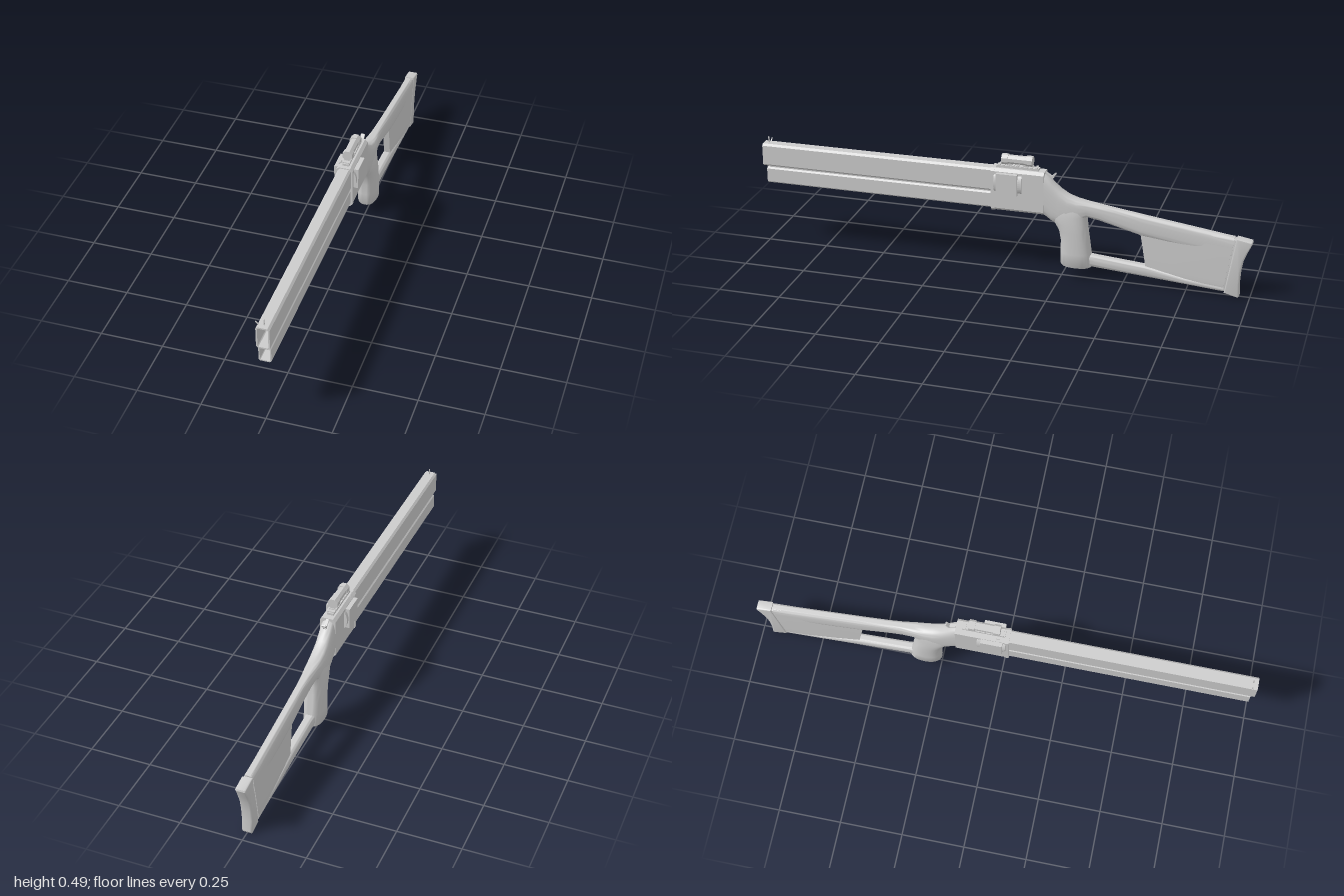
import * as THREE from 'three';
import { mergeVertices, toCreasedNormals } from 'three/addons/utils/BufferGeometryUtils.js';

const grey = new THREE.MeshStandardMaterial({ color: 0xcccccc, side: THREE.DoubleSide });

// Chamfered rectangle outline in x,y
function outline(Path, w, y0, y1, c) {
  const p = new Path();
  [[-w + c, y0], [w - c, y0], [w, y0 + c], [w, y1 - c], [w - c, y1], [-w + c, y1], [-w, y1 - c], [-w, y0 + c]]
    .forEach(([x, y], i) => (i ? p.lineTo(x, y) : p.moveTo(x, y)));
  p.closePath();
  return p;
}

// Chamfered bar along z, optionally hollow
function bar(w, y0, y1, c, z0, z1, wall = 0) {
  const shape = outline(THREE.Shape, w, y0, y1, c);
  if (wall) shape.holes.push(outline(THREE.Path, w - wall, y0 + wall, y1 - wall, c * 0.4));
  return new THREE.ExtrudeGeometry(shape, { depth: z1 - z0, bevelEnabled: false }).translate(0, 0, z0);
}

// Side profile given as [z, y], extruded across x with a rounded rim
function profile(points, halfWidth, bevel) {
  const shape = new THREE.Shape(points.map(([z, y]) => new THREE.Vector2(-z, y)));
  const geo = new THREE.ExtrudeGeometry(shape, {
    depth: 2 * (halfWidth - bevel), bevelSize: bevel, bevelThickness: bevel, bevelOffset: -bevel, bevelSegments: 3,
  });
  geo.translate(0, 0, bevel - halfWidth).rotateY(Math.PI / 2);
  return toCreasedNormals(geo, 0.6);
}

// Loft through rounded sections: [zA, yA, zB, yB, halfWidth], A and B being opposite rims
function loft(sections, squareness, n = 32) {
  const pos = [], idx = [];
  const power = (v) => Math.sign(v) * Math.abs(v) ** (2 / squareness);
  for (const [zA, yA, zB, yB, w] of sections) {
    for (let j = 0; j < n; j++) {
      const t = (j / n) * Math.PI * 2, s = power(Math.sin(t)) / 2;
      pos.push(w * power(Math.cos(t)), (yA + yB) / 2 + (yA - yB) * s, (zA + zB) / 2 + (zA - zB) * s);
    }
  }
  const last = (sections.length - 1) * n, centre = sections.length * n;
  for (const [zA, yA, zB, yB] of [sections[0], sections.at(-1)]) pos.push(0, (yA + yB) / 2, (zA + zB) / 2);
  for (let j = 0; j < n; j++) {
    const k = (j + 1) % n;
    for (let r = 0; r < last; r += n) idx.push(r + j, r + n + j, r + k, r + k, r + n + j, r + n + k);
    idx.push(centre, j, k, centre + 1, last + k, last + j);
  }
  const geo = new THREE.BufferGeometry();
  geo.setAttribute('position', new THREE.Float32BufferAttribute(pos, 3));
  geo.setIndex(idx);
  return toCreasedNormals(mergeVertices(geo, 1e-5), 0.75);
}

export function createModel() {
  const model = new THREE.Group();
  const add = (name, geo, x = 0, y = 0, z = 0) => {
    const mesh = new THREE.Mesh(geo, grey);
    mesh.name = name;
    mesh.position.set(x, y, z);
    model.add(mesh);
    return mesh;
  };
  const box = (name, w, h, d, x, y, z) => add(name, new THREE.BoxGeometry(w, h, d), x, y, z);

  // Hollow tubes and the strip joining them
  add('upperTube', bar(0.026, 0.34, 0.435, 0.008, 0.0, 1.0, 0.006));
  add('lowerTube', bar(0.024, 0.268, 0.335, 0.006, 0.0, 0.985, 0.005));
  box('tubeJoint', 0.034, 0.012, 0.95, 0, 0.337, 0.5);

  // Receiver with a front collar
  add('receiver', bar(0.032, 0.262, 0.438, 0.011, -0.18, 0.03));
  add('frontCollar', bar(0.0335, 0.26, 0.439, 0.011, 0.018, 0.033));

  // Side panels with bowed plates at both ends
  for (const side of [-1, 1]) {
    box('sidePanel', 0.02, 0.088, 0.085, side * 0.039, 0.38, -0.034);
    const bow = new THREE.Shape();
    bow.moveTo(0.028, 0.34);
    bow.quadraticCurveTo(0.044, 0.353, 0.044, 0.38);
    bow.quadraticCurveTo(0.044, 0.407, 0.028, 0.42);
    const geo = new THREE.ExtrudeGeometry(bow, { depth: 0.112, bevelEnabled: false, curveSegments: 6 });
    add('bowedPlate', geo.translate(0, 0, -0.092)).rotation.z = 0;
    if (side < 0) {
      model.children.at(-1).rotation.y = Math.PI;
      model.children.at(-1).position.z = -0.072;
    }
  }

  // Sight rail and octagonal scope
  box('sightRail', 0.026, 0.01, 0.17, 0, 0.442, -0.07);
  for (let i = 0; i < 9; i++) box('railTooth', 0.03, 0.005, 0.009, 0, 0.448, 0.005 - i * 0.0187);
  for (const z of [-0.035, -0.1]) box('scopeMount', 0.014, 0.02, 0.022, 0, 0.452, z);
  const tube = (r, length) => new THREE.CylinderGeometry(r, r, length, 8).rotateY(Math.PI / 8).rotateX(Math.PI / 2).toNonIndexed();
  const facet = (geo) => { geo.computeVertexNormals(); return geo; };
  add('scopeBody', facet(tube(0.018, 0.12)), 0, 0.472, -0.067);
  for (const z of [-0.018, -0.116]) add('scopeRing', facet(tube(0.0215, 0.026)), 0, 0.472, z);
  add('mountScrew', new THREE.CylinderGeometry(0.004, 0.004, 0.03, 8).rotateZ(Math.PI / 2), 0, 0.448, -0.067);

  // Front pins and folding rear sight
  box('frontSight', 0.003, 0.028, 0.005, 0, 0.446, 0.98);
  box('frontSightPin', 0.003, 0.018, 0.004, -0.026, 0.437, 0.98).rotation.z = 0.8;
  box('receiverPin', 0.012, 0.008, 0.012, -0.028, 0.433, -0.01).rotation.z = 0.8;
  box('rearSightArm', 0.012, 0.006, 0.04, 0, 0.423, -0.196).rotation.x = -0.55;
  box('rearSightBlade', 0.016, 0.006, 0.022, 0, 0.424, -0.214).rotation.x = 0.85;

  // Neck flowing into the upper rail of the stock
  add('stockUpperRail', loft([
    [-0.165, 0.434, -0.165, 0.262, 0.031],
    [-0.185, 0.425, -0.185, 0.253, 0.031],
    [-0.21, 0.4, -0.21, 0.235, 0.031],
    [-0.24, 0.372, -0.235, 0.225, 0.032],
    [-0.275, 0.35, -0.27, 0.225, 0.033],
    [-0.31, 0.338, -0.31, 0.24, 0.031],
    [-0.35, 0.33, -0.35, 0.268, 0.027],
    [-0.4, 0.323, -0.4, 0.258, 0.022],
    [-0.46, 0.315, -0.46, 0.242, 0.02],
    [-0.567, 0.3, -0.567, 0.214, 0.02],
    [-0.8, 0.269, -0.8, 0.178, 0.02],
    [-0.93, 0.251, -0.92, 0.165, 0.02],
  ], 3.2));

  // Oval hand grip
  add('handGrip', loft([
    [-0.252, 0.053, -0.37, 0.053, 0.036],
    [-0.247, 0.06, -0.377, 0.06, 0.04],
    [-0.246, 0.11, -0.37, 0.11, 0.04],
    [-0.246, 0.16, -0.363, 0.16, 0.04],
    [-0.238, 0.2, -0.357, 0.2, 0.04],
    [-0.222, 0.228, -0.353, 0.235, 0.039],
    [-0.205, 0.25, -0.352, 0.27, 0.036],
    [-0.2, 0.285, -0.36, 0.295, 0.032],
    [-0.205, 0.32, -0.36, 0.315, 0.024],
  ], 2.3));

  // Lower rail and the recessed web that widens towards the butt
  add('stockLowerRail', loft([
    [-0.34, 0.112, -0.34, 0.06, 0.022],
    [-0.39, 0.106, -0.39, 0.056, 0.02],
    [-0.59, 0.09, -0.59, 0.042, 0.02],
    [-0.75, 0.06, -0.75, 0.031, 0.02],
    [-0.9, 0.045, -0.897, 0.02, 0.02],
  ], 3.2));
  add('stockWeb', loft([
    [-0.562, 0.24, -0.595, 0.05, 0.013],
    [-0.7, 0.265, -0.7, 0.045, 0.017],
    [-0.82, 0.26, -0.81, 0.028, 0.0201],
    [-0.93, 0.25, -0.895, 0.021, 0.0201],
  ], 7));

  // Butt pad with a hollowed back and a thin seam in front
  add('buttSeam', profile([[-0.92, 0.246], [-0.945, 0.243], [-0.908, 0.024], [-0.885, 0.026]], 0.017, 0.002));
  add('buttPad', profile([
    [-0.938, 0.25], [-0.998, 0.24], [-1, 0.233], [-0.983, 0.195], [-0.968, 0.155], [-0.96, 0.11],
    [-0.957, 0.06], [-0.96, 0.01], [-0.955, 0.002], [-0.9, 0.016],
  ], 0.021, 0.006));

  return model;
}
